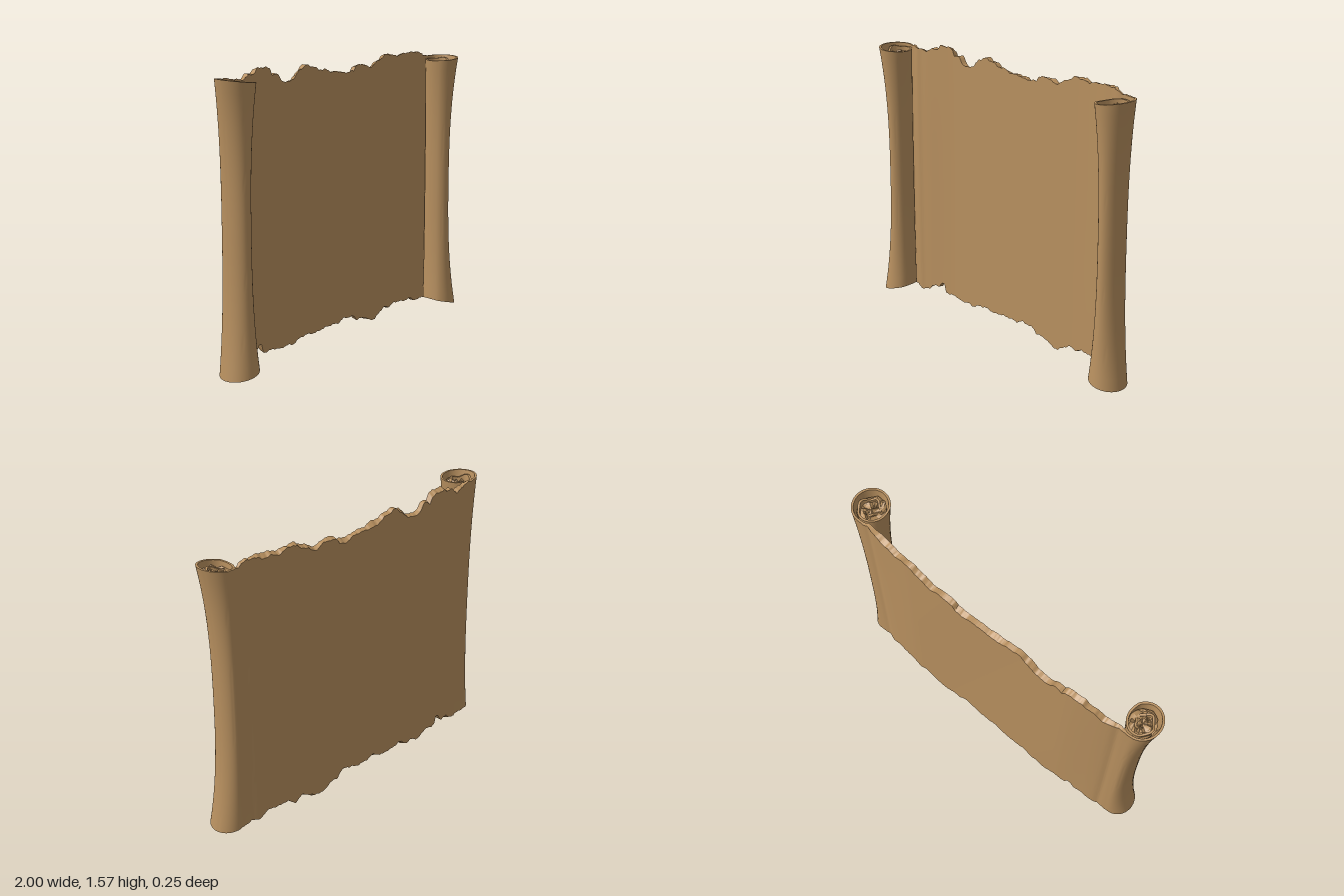
import * as THREE from 'three';
import { toCreasedNormals } from 'three/addons/utils/BufferGeometryUtils.js';

const { lerp, clamp, smoothstep } = THREE.MathUtils;

// Torn edge heights as x, y pairs
const TOP = [-0.9, 1.54, -0.8, 1.53, -0.75, 1.52, -0.7, 1.54, -0.65, 1.545, -0.62, 1.572, -0.55, 1.572, -0.515, 1.56,
  -0.5, 1.53, -0.46, 1.53, -0.42, 1.49, -0.38, 1.48, -0.32, 1.5, -0.28, 1.54, -0.22, 1.56, -0.15, 1.545, -0.12, 1.53,
  -0.05, 1.525, 0, 1.505, 0.05, 1.51, 0.1, 1.495, 0.2, 1.5, 0.22, 1.53, 0.3, 1.53, 0.35, 1.505, 0.4, 1.53,
  0.45, 1.55, 0.5, 1.575, 0.6, 1.56, 0.7, 1.575, 0.8, 1.57, 0.85, 1.55, 0.9, 1.54];
const BOTTOM = [-0.9, 0.037, -0.8, 0.015, -0.75, 0.03, -0.72, 0.06, -0.66, 0.07, -0.64, 0.1, -0.615, 0.09, -0.6, 0.045,
  -0.5, 0.045, -0.45, 0.03, -0.4, 0.04, -0.35, 0.03, -0.28, 0.055, -0.22, 0.06, -0.15, 0.05, -0.1, 0.06, 0, 0.065,
  0.05, 0.06, 0.1, 0.08, 0.2, 0.07, 0.22, 0.045, 0.3, 0.04, 0.35, 0.012, 0.4, 0.007, 0.45, 0.04, 0.5, 0.06,
  0.55, 0.05, 0.6, 0.07, 0.68, 0.06, 0.75, 0.065, 0.8, 0.04, 0.85, 0.05, 0.9, 0.037];

function sample(table, x) {
  let i = 0;
  while (i < table.length - 4 && table[i + 2] < x) i += 2;
  const t = clamp((x - table[i]) / (table[i + 2] - table[i]), 0, 1);
  return lerp(table[i + 1], table[i + 3], t);
}

// Centre and radii of a roll at height y: slim in the middle, flared at the ends
function rollAt(y) {
  const w = Math.pow(Math.min(1, Math.abs(y - 0.785) / 0.765), 2.6);
  return { cx: 0.89 + 0.01 * w, cz: 0.0025 + 0.0175 * w, rx: 0.055 + 0.045 * w, rz: 0.0875 + 0.0225 * w };
}

const TURN = Math.PI * 4.2; // total winding angle of each roll
const THIN = 0.006;

// Winding tightens once it passes the inner side of the roll
function winding(a) {
  const t = clamp((a - Math.PI * 1.3) / (TURN - Math.PI * 1.3), 0, 1);
  return 1 - 0.72 * Math.pow(t, 0.8) + 0.05 * Math.sin(a * 4.3) * smoothstep(a, Math.PI * 2, Math.PI * 2.5);
}

// Path of the paper in plan: |u| <= 1 is the open sheet, beyond that the rolls
function path(u, y) {
  const { cx, cz, rx, rz } = rollAt(y);
  const side = Math.sign(u) || 1, m = Math.abs(u);
  if (m > 1) {
    const a = m - 1, k = winding(a);
    return [side * (cx + (rx - THIN) * k * Math.sin(a)), cz - (rz - THIN) * k * Math.cos(a)];
  }
  const x = m * cx;
  const flat = -0.108 + 0.002 * Math.sin(u * 5 + y * 2);
  const dip = 0.008 * Math.exp(-Math.pow((x - 0.825) / 0.025, 2));
  return [side * x, lerp(flat, cz - rz + THIN, smoothstep(x, 0.5, 0.88)) + dip];
}

// Bottom and top height of the paper along the path
function edges(u) {
  const m = Math.abs(u);
  const rough = 0.003 * Math.sin(u * 71) + 0.002 * Math.sin(u * 163 + 1);
  if (m <= 1) return [sample(BOTTOM, u * 0.9) + rough, sample(TOP, u * 0.9) + rough];
  const a = m - 1, k = winding(a);
  const s = 0.5 + 0.5 * k * Math.sin(a);
  const sunk = 0.05 * (1 - k) + 0.012 * Math.sin(a * 3.1) * (1 - k);
  const front = 0.008 * (1 - Math.cos(a)) * 0.5;
  return [0.06 - 0.045 * s + sunk, 1.53 + 0.02 * s - sunk - front];
}

// One continuous sheet with front and back layers and torn rims
function paperGeometry() {
  const us = [];
  const nRoll = 100, nSheet = 260, rows = 24, ring = 2 * (rows + 1);
  for (let i = 0; i < nRoll; i++) us.push(-1 - TURN * (1 - i / nRoll));
  for (let i = 0; i <= nSheet; i++) us.push(-1 + 2 * i / nSheet);
  for (let i = 1; i <= nRoll; i++) us.push(1 + TURN * i / nRoll);
  const pos = [], index = [];
  us.forEach((u, i) => {
    const [low, high] = edges(u);
    const open = 1 - smoothstep(Math.abs(u), 0.8, 1);
    const half = lerp(THIN, 0.016, open);
    for (let j = 0; j < ring; j++) {
      const back = j > rows;
      const v = (back ? ring - 1 - j : j) / rows;
      // the back layer is torn at a slightly different height
      const lip = back ? open * 0.009 * (Math.sin(u * 23) + 0.6 * Math.sin(u * 51 + 2) - 1) : 0;
      const y = Math.max(0.001, lerp(low - lip, high + lip, v));
      const p = path(u, y), a = path(u - 0.004, y), b = path(u + 0.004, y);
      const tx = b[0] - a[0], tz = b[1] - a[1], len = Math.hypot(tx, tz) || 1;
      const d = (back ? -half : half) / len;
      pos.push(p[0] - tz * d, y, p[1] + tx * d);
      if (i < us.length - 1) {
        const j2 = (j + 1) % ring;
        const q = i * ring + j, r = i * ring + j2;
        index.push(q, q + ring, r + ring, q, r + ring, r);
      }
    }
  });
  const g = new THREE.BufferGeometry();
  g.setAttribute('position', new THREE.Float32BufferAttribute(pos, 3));
  g.setIndex(index);
  return toCreasedNormals(g, 0.8);
}

// Crumpled paper core that closes the ends of a roll
function coreGeometry(side) {
  const profile = [];
  const radii = [0.001, 0.22, 0.45, 0.65, 0.8];
  radii.forEach((r) => profile.push(new THREE.Vector2(r, 0.075)));
  for (let i = 1; i < 10; i++) profile.push(new THREE.Vector2(0.8, lerp(0.075, 1.495, i / 10)));
  radii.reverse().forEach((r) => profile.push(new THREE.Vector2(r, 1.495)));
  const g = new THREE.LatheGeometry(profile, 18);
  const p = g.attributes.position;
  for (let i = 0; i < p.count; i++) {
    const x = p.getX(i), z = p.getZ(i), y = p.getY(i);
    const atEnd = y < 0.08 || y > 1.49;
    const bump = atEnd ? 0.016 * Math.sin(x * 11 + side) * Math.cos(z * 13) + 0.008 * Math.sin(x * 29 + z * 23) : 0;
    const { cx, cz, rx, rz } = rollAt(y);
    p.setXYZ(i, side * cx + x * rx, y + bump, cz + z * rz);
  }
  return toCreasedNormals(g, 0.5);
}

export function createModel() {
  const group = new THREE.Group();
  group.name = 'scroll';
  const parchment = new THREE.MeshStandardMaterial({ color: 0xb8905f, side: THREE.DoubleSide });
  parchment.name = 'parchment';

  const paper = new THREE.Mesh(paperGeometry(), parchment);
  paper.name = 'rolledPaper';
  group.add(paper);

  for (const side of [1, -1]) {
    const core = new THREE.Mesh(coreGeometry(side), parchment);
    core.name = side > 0 ? 'leftRollCore' : 'rightRollCore';
    group.add(core);
  }
  return group;
}
